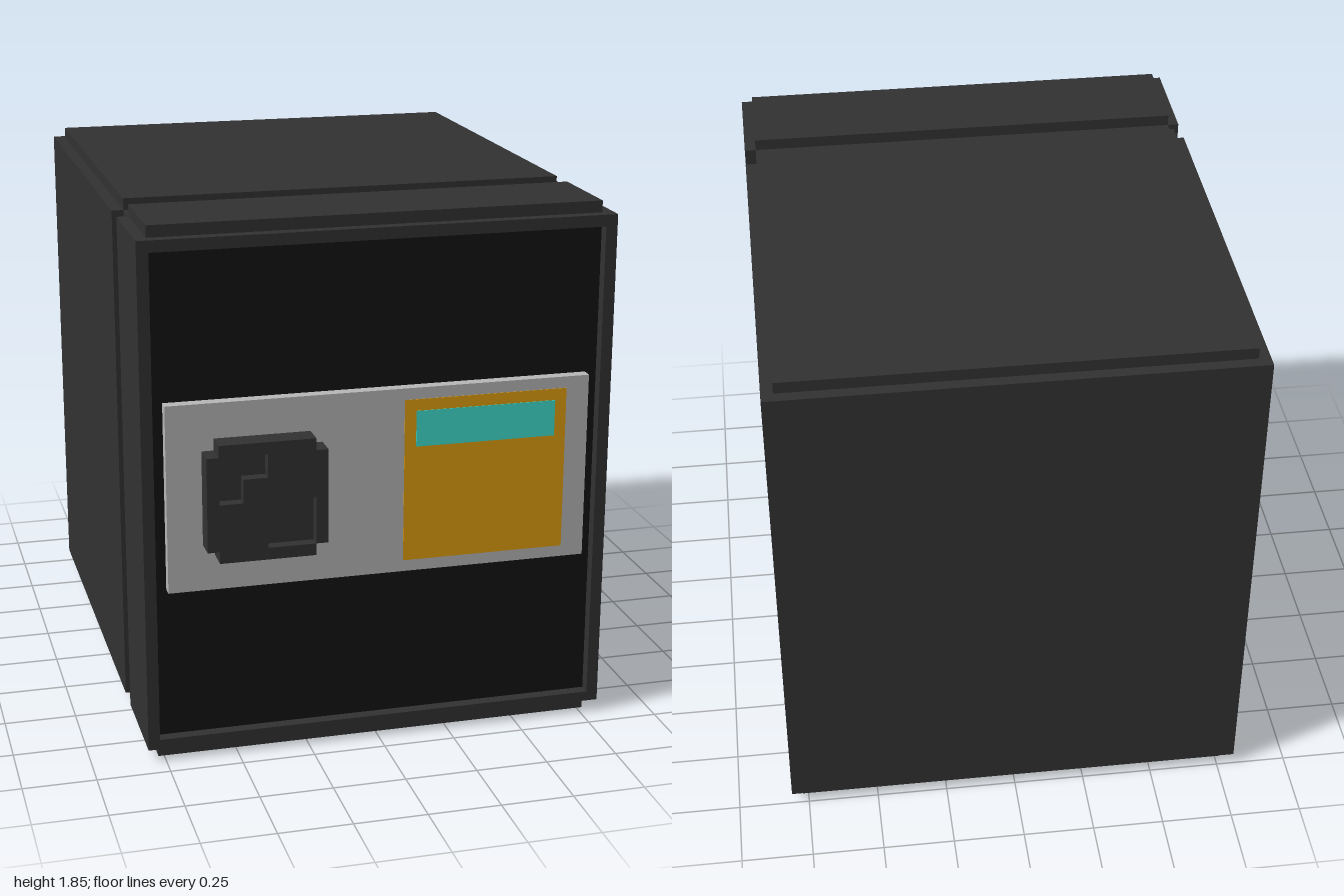
import * as THREE from 'three';

const material = (color) => new THREE.MeshStandardMaterial({ color, flatShading: true });

// Box given by its limits on each axis
function block(name, mat, [x0, x1], [y0, y1], [z0, z1]) {
  const mesh = new THREE.Mesh(new THREE.BoxGeometry(x1 - x0, y1 - y0, z1 - z0), mat);
  mesh.position.set((x0 + x1) / 2, (y0 + y1) / 2, (z0 + z1) / 2);
  mesh.name = name;
  return mesh;
}

const points = (list) => list.map(([x, y]) => new THREE.Vector2(x, y));
const rect = (x0, x1, y0, y1) => points([[x0, y0], [x1, y0], [x1, y1], [x0, y1]]);

// Outline with holes, extruded from z0 to z1
function slab(name, mat, outline, holes, z0, z1) {
  const shape = new THREE.Shape(outline);
  holes.forEach((h) => shape.holes.push(new THREE.Path(h)));
  const mesh = new THREE.Mesh(
    new THREE.ExtrudeGeometry(shape, { depth: z1 - z0, bevelEnabled: false }), mat);
  mesh.position.z = z0;
  mesh.name = name;
  return mesh;
}

export function createModel() {
  const model = new THREE.Group();
  model.name = 'cabinet';
  const casing = material(0x323232);
  const black = material(0x141414);
  const grey = material(0xb8b8b8);
  const orange = material(0xe2a010);
  const teal = material(0x40e0d0);

  // Main casing, groove and front frame
  model.add(
    block('rearCasing', casing, [-0.81, 0.81], [0.045, 1.81], [-1, 0.45]),
    block('grooveCore', casing, [-0.77, 0.77], [0.045, 1.81], [0.45, 0.55]),
    slab('frontFrame', casing, rect(-0.81, 0.81, 0.045, 1.81),
      [rect(-0.77, 0.77, 0.08, 1.77)], 0.55, 0.92),
    block('frontPanel', black, [-0.77, 0.77], [0.08, 1.77], [0.55, 0.88]),
  );

  // Raised plates on the top and bottom, on both sides of the groove
  for (const [side, y] of [['top', [1.81, 1.85]], ['bottom', [0, 0.045]]]) {
    model.add(
      block(side + 'RearPlate', casing, [-0.77, 0.77], y, [-0.96, 0.45]),
      block(side + 'FrontPlate', casing, [-0.77, 0.77], y, [0.55, 0.88]),
    );
  }

  // Control plate with its label
  model.add(
    block('controlPlate', grey, [-0.73, 0.73], [0.61, 1.26], [0.88, 0.92]),
    block('label', orange, [0.08, 0.65], [0.65, 1.22], [0.915, 0.922]),
    block('labelStripe', teal, [0.12, 0.61], [1.055, 1.18], [0.917, 0.924]),
  );

  // Knob: square with notched corners and two L-shaped recesses
  const knob = new THREE.Group();
  knob.name = 'knob';
  knob.position.set(-0.407, 0.935, 0);
  const a = 0.204, b = 0.163, c = 0.082;
  const cross = points([
    [-b, -a], [b, -a], [b, -b], [a, -b], [a, b], [b, b],
    [b, a], [-b, a], [-b, b], [-a, b], [-a, -b], [-b, -b],
  ]);
  const recess = (s) => points(
    [[-b, b], [0, b], [0, c], [-c, c], [-c, 0], [-b, 0]].map(([x, y]) => [s * x, s * y]));
  knob.add(
    slab('knobBase', casing, cross, [], 0.92, 0.96),
    slab('knobFace', casing, cross, [recess(1), recess(-1)], 0.96, 1),
  );
  model.add(knob);
  return model;
}
